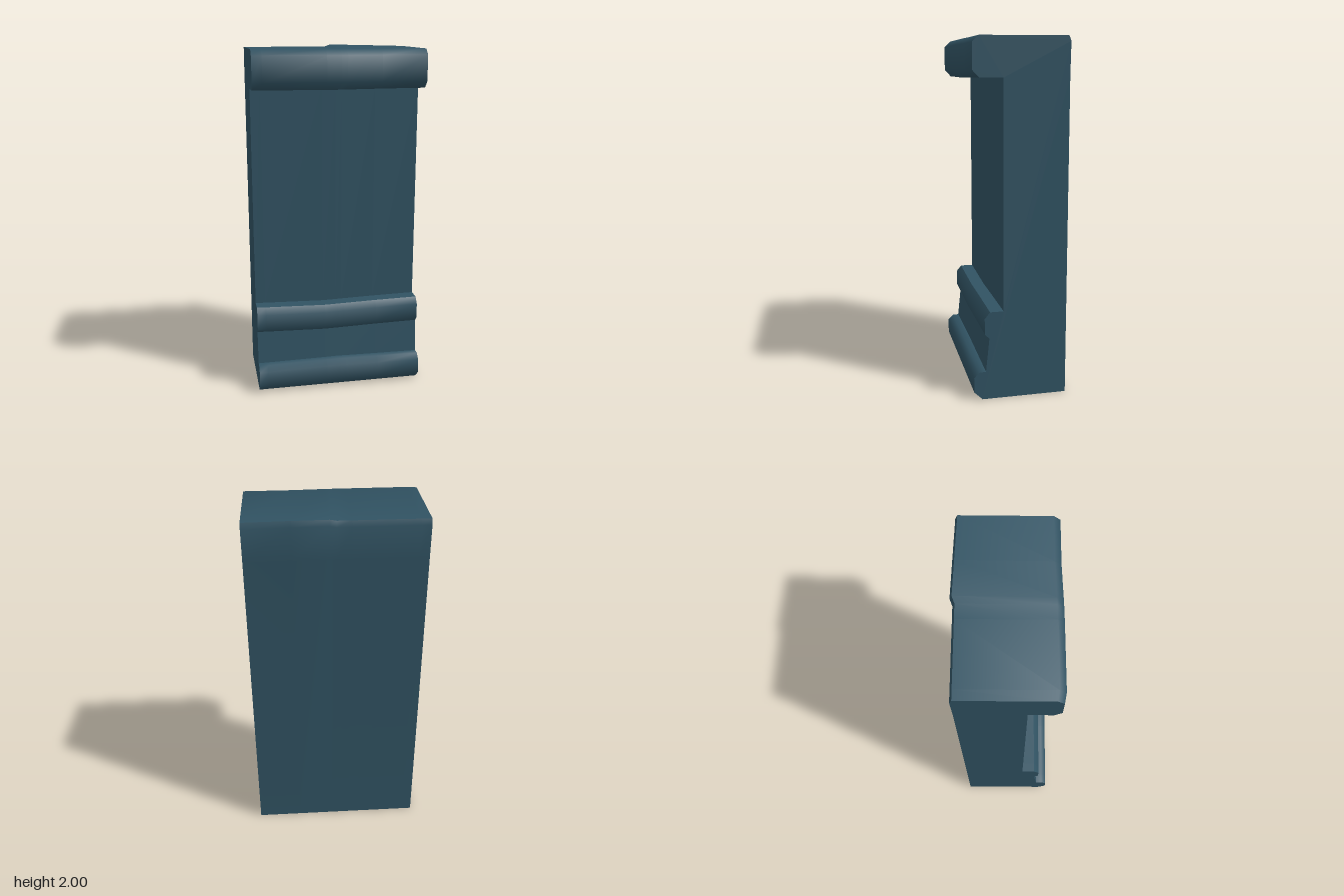
import * as THREE from 'three';
import { toCreasedNormals } from 'three/addons/utils/BufferGeometryUtils.js';

// Stations along x: small hand-carved deviations of the moulded profile.
// sag: dip of the middle moulding, rise: lift of the base moulding,
// top: rear top height, back: rear of the cap, front: front of the cap
const stations = [
  { x: -0.485, sag: 0, rise: 0, top: 1.988, back: -0.263, front: 0.265 },
  { x: -0.43, sag: 0.002, rise: 0.001, top: 1.988, back: -0.263, front: 0.275 },
  { x: -0.08, sag: 0.012, rise: 0.005, top: 1.988, back: -0.263, front: 0.274 },
  { x: 0, sag: 0.01, rise: 0.007, top: 1.988, back: -0.263, front: 0.273 },
  { x: 0.035, sag: 0.009, rise: 0.006, top: 2.0, back: -0.277, front: 0.272 },
  { x: 0.23, sag: 0.004, rise: 0.003, top: 1.996, back: -0.271, front: 0.265 },
  { x: 0.485, sag: 0, rise: 0, top: 1.99, back: -0.263, front: 0.265 },
];

// Closed profile as [z, y], from the rear foot forward and up
function profile({ sag, rise, top, back, front }) {
  return [
    [-0.26, 0],
    // base moulding
    [0.22, 0], [0.267, 0.045], [0.267, 0.13 + rise], [0.237, 0.16 + rise], [0.2, 0.162 + rise],
    // sloping band and middle moulding
    [0.18, 0.355 - sag], [0.206, 0.381 - sag], [0.206, 0.47 - sag], [0.176, 0.507 - sag], [0.1, 0.507 - sag],
    // plain face and overhanging cap
    [0.1, 1.772], [front - 0.037, 1.772 - sag / 3], [front, 1.81], [front, 1.952], [front - 0.035, 1.986],
    // rear edge of the cap
    [back + 0.012, top], [back, top - 0.03], [-0.26, 1.78],
  ];
}

function loft() {
  const positions = [];
  const index = [];
  const rings = stations.map(profile);
  const n = rings[0].length;
  rings.forEach((ring, i) => ring.forEach(([z, y]) => positions.push(stations[i].x, y, z)));

  // long faces
  for (let i = 0; i < rings.length - 1; i++) {
    for (let j = 0; j < n; j++) {
      const a = i * n + j, b = i * n + (j + 1) % n;
      index.push(a, a + n, b + n, a, b + n, b);
    }
  }
  // end faces
  const last = (rings.length - 1) * n;
  for (const [start, flip] of [[0, false], [last, true]]) {
    const points = rings[start / n].map(([z, y]) => new THREE.Vector2(z, y));
    for (const [a, b, c] of THREE.ShapeUtils.triangulateShape(points, [])) {
      if (flip) index.push(start + a, start + c, start + b);
      else index.push(start + a, start + b, start + c);
    }
  }
  const geometry = new THREE.BufferGeometry();
  geometry.setAttribute('position', new THREE.Float32BufferAttribute(positions, 3));
  geometry.setIndex(index);
  return toCreasedNormals(geometry, 0.86);
}

export function createModel() {
  const slate = new THREE.MeshStandardMaterial({ color: 0x315363 });
  slate.name = 'slate blue';
  const wall = new THREE.Mesh(loft(), slate);
  wall.name = 'mouldedWallBlock';
  const group = new THREE.Group();
  group.name = 'wallSegment';
  group.add(wall);
  return group;
}
